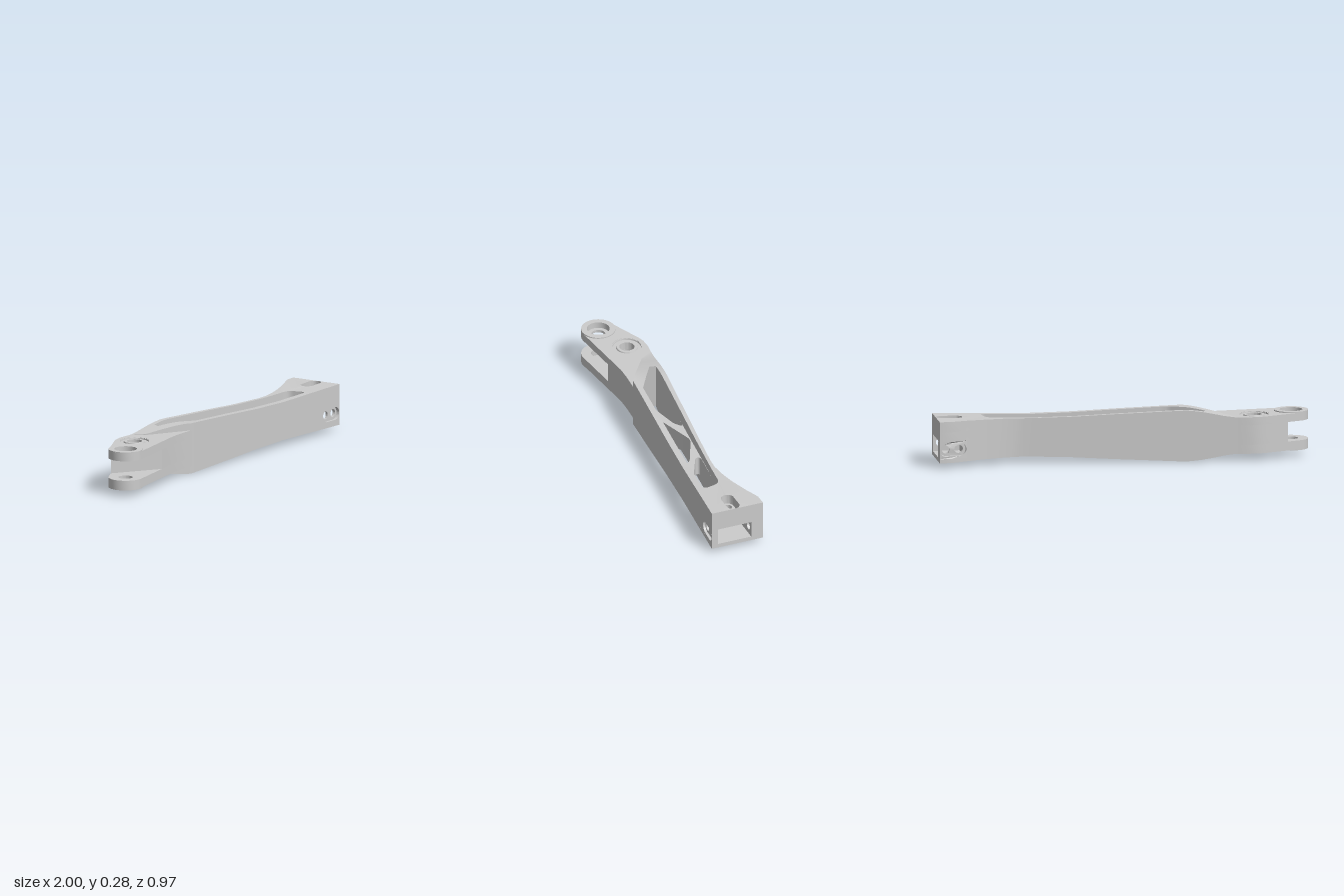
import * as THREE from 'three';
import { toCreasedNormals } from 'three/addons/utils/BufferGeometryUtils.js';

const material = new THREE.MeshStandardMaterial({ color: 0xcccccc });
const mix = (a, b, t) => [a[0] + (b[0] - a[0]) * t, a[1] + (b[1] - a[1]) * t];

// Height of the top face along the arm; the underside mirrors it
const PROFILE = [[-0.66, 0.245], [-0.6, 0.253], [-0.53, 0.267], [-0.46, 0.279], [-0.4, 0.285], [-0.36, 0.285],
  [0, 0.269], [0.25, 0.256], [0.5, 0.25], [0.7, 0.253], [0.9, 0.258], [1.2, 0.258]];
function high(x, z) {
  const s = 0.965 * x - 0.263 * z;
  if (s <= PROFILE[0][0]) return PROFILE[0][1];
  const i = PROFILE.findIndex((p) => p[0] > s);
  const [a, b] = [PROFILE[i - 1], PROFILE[i]];
  return mix(a, b, (s - a[0]) / (b[0] - a[0]))[1];
}
const low = (x, z) => 0.285 - high(x, z);

function addMesh(group, name, geometry) {
  const mesh = new THREE.Mesh(toCreasedNormals(geometry, 0.5), material);
  mesh.name = name;
  group.add(mesh);
  return mesh;
}

// Unit-depth extrusion; the outline is wound one way and the holes the other
function extrude(outline, holes) {
  const wound = (pts, clockwise) => {
    const v = pts.map((p) => new THREE.Vector2(...p));
    return THREE.ShapeUtils.isClockWise(v) === clockwise ? v : v.reverse();
  };
  const shape = new THREE.Shape(wound(outline, false));
  shape.holes = holes.map((h) => new THREE.Path(wound(h, true)));
  return new THREE.ExtrudeGeometry(shape, { depth: 1, bevelEnabled: false });
}

// Closed outline of a slot (or a circle when both centres agree)
function obround(a, b, r, n = 16) {
  const dir = Math.atan2(b[1] - a[1], b[0] - a[0]);
  const pts = [];
  for (const [c, start] of [[b, dir - Math.PI / 2], [a, dir + Math.PI / 2]]) {
    for (let i = 0; i < n; i++) {
      const t = start + Math.PI * i / n;
      pts.push([c[0] + r * Math.cos(t), c[1] + r * Math.sin(t)]);
    }
  }
  return pts;
}
const circle = (c, r) => obround(c, c, r);

// Points rounding the corner b on the way from a to c
function corner(a, b, c) {
  const curve = new THREE.QuadraticBezierCurve(...[a, b, c].map((p) => new THREE.Vector2(...p)));
  return curve.getPoints(6).map((q) => [q.x, q.y]);
}

// Polygon with softened corners
function soften(pts, r) {
  return pts.flatMap((p, i) => {
    const toward = (q) => mix(p, q, Math.min(0.45, r / Math.hypot(q[0] - p[0], q[1] - p[1])));
    return corner(toward(pts.at(i - 1)), p, toward(pts[(i + 1) % pts.length]));
  });
}

// Plan outline in x,z raised between two heights (numbers or height rules)
function slab(group, name, outline, holes, y0, y1) {
  const plan = (pts) => pts.map(([x, z]) => [x, -z]);
  const g = extrude(plan(outline), holes.map(plan)).rotateX(-Math.PI / 2);
  const p = g.attributes.position;
  for (let i = 0; i < p.count; i++) {
    const y = p.getY(i) > 0.5 ? y1 : y0;
    p.setY(i, typeof y === 'function' ? y(p.getX(i), p.getZ(i)) : y);
  }
  addMesh(group, name, g);
}

// Polyline resampled with a given number of steps per leg
function sample(pts, steps) {
  const out = [pts[0]];
  steps.forEach((n, k) => {
    for (let i = 1; i <= n; i++) out.push(mix(pts[k], pts[k + 1], i / n));
  });
  return out;
}

// Beam between a back and a front line, following the height profile
function beam(group, name, back, front) {
  const pos = [], idx = [];
  back.forEach(([bx, bz], i) => {
    const [fx, fz] = front[i];
    pos.push(bx, low(bx, bz), bz, bx, high(bx, bz), bz, fx, high(fx, fz), fz, fx, low(fx, fz), fz);
    if (i === 0) return;
    for (let k = 0; k < 4; k++) {
      const a = (i - 1) * 4 + k, c = (i - 1) * 4 + (k + 1) % 4;
      idx.push(a, c, a + 4, c, c + 4, a + 4);
    }
  });
  const e = (back.length - 1) * 4;
  idx.push(0, 2, 1, 0, 3, 2, e, e + 1, e + 2, e, e + 2, e + 3);
  const g = new THREE.BufferGeometry();
  g.setAttribute('position', new THREE.Float32BufferAttribute(pos, 3));
  g.setIndex(idx);
  addMesh(group, name, g);
}

// Drilled side wall of the end socket, spanned between two three-point lines
function sideWall(group, name, inner, outer, y0, y1) {
  const L = 0.15, c0 = [0.04, 0.098], c1 = [0.111, 0.098];
  const on = (line, u) => (u < 0.5 ? mix(line[0], line[1], u * 2) : mix(line[1], line[2], u * 2 - 1));
  const outline = [[0, y0], [L / 2, y0], [L, y0], [L, y1], [L / 2, y1], [0, y1]];
  const layers = [[0, 0.5, [circle(c0, 0.022), circle(c1, 0.022)]], [0.5, 1, [obround(c0, c1, 0.036)]]];
  for (const [w0, w1, holes] of layers) {
    const g = extrude(outline, holes);
    const p = g.attributes.position;
    for (let i = 0; i < p.count; i++) {
      const u = p.getX(i) / L, w = w0 + (w1 - w0) * p.getZ(i);
      const [x, z] = mix(on(inner, u), on(outer, u), w);
      p.setXYZ(i, x, p.getY(i), z);
    }
    addMesh(group, name, g);
  }
}

export function createModel() {
  const model = new THREE.Group();
  const PIN = [-0.905, 0.39], BORE = [-0.73, 0.235];

  // Forked head: two plates joined by a core
  const tip = [];
  for (let i = 0; i <= 24; i++) {
    const t = THREE.MathUtils.degToRad(227 - (227 - 62.6) * i / 24);
    tip.push([PIN[0] + 0.095 * Math.cos(t), PIN[1] + 0.095 * Math.sin(t)]);
  }
  const frontEdge = [[-0.49, 0.272], [-0.41, 0.24], [-0.32, 0.21]];
  const backEdge = [[-0.60, 0.155], [-0.67, 0.102], [-0.70, 0.11], [-0.745, 0.123], [-0.785, 0.143], [-0.815, 0.166]];
  const head = [...tip, ...frontEdge, ...backEdge];
  const core = [mix(tip[0], backEdge[5], 0.355), mix(tip[24], frontEdge[0], 0.65), ...frontEdge, ...backEdge];
  slab(model, 'lowerForkPlate', head, [circle(BORE, 0.085), circle(PIN, 0.04)], 0.04, 0.09);
  slab(model, 'headCore', core, [circle(BORE, 0.042)], 0.09, 0.2);
  slab(model, 'upperForkPlate', head, [circle(BORE, 0.085), circle(PIN, 0.063)], 0.2, 0.245);

  // Pin seats at the fork tip
  slab(model, 'upperPinBoss', circle(PIN, 0.095), [circle(PIN, 0.063)], 0.245, 0.251);
  slab(model, 'upperPinSeat', circle(PIN, 0.064), [circle(PIN, 0.04)], 0.2, 0.215);
  slab(model, 'lowerPinSeat', circle(PIN, 0.095), [circle(PIN, 0.015)], 0.035, 0.05);

  // Ring bearings on both faces of the head
  const ring = [[0.042, 0], [0.086, 0], [0.086, 0.044], [0.08, 0.044], [0.079, 0.037], [0.06, 0.037],
    [0.058, 0.044], [0.042, 0.044], [0.042, 0]].map((p) => new THREE.Vector2(...p));
  for (const side of [1, -1]) {
    const bearing = addMesh(model, side > 0 ? 'upperBearing' : 'lowerBearing', new THREE.LatheGeometry(ring, 40));
    bearing.position.set(BORE[0], side > 0 ? 0.2 : 0.09, BORE[1]);
    if (side < 0) bearing.rotation.x = Math.PI;
  }

  // Ramp rising from the head, then the two rails of the arm
  beam(model, 'ramp', sample([[-0.67, 0.102], [-0.48, 0.05]], [10]), sample([[-0.6, 0.155], [-0.48, 0.178]], [10]));
  beam(model, 'backRail',
    sample([[-0.48, 0.05], [0.44, -0.202], [0.51, -0.225], [0.58, -0.262], [0.66, -0.315]], [24, 2, 2, 2]),
    sample([[-0.48, 0.08], [0.45, -0.185], [0.53, -0.207], [0.59, -0.224], [0.645, -0.24]], [24, 2, 2, 2]));
  beam(model, 'frontRail',
    sample([[-0.48, 0.115], [-0.25, 0.155], [0.712, -0.151]], [8, 26]),
    sample([[-0.48, 0.178], [-0.32, 0.21], [0.75, -0.122]], [8, 26]));

  // Recessed diagonal webs between the rails
  const openings = [
    [[-0.49, 0.08], [0.02, -0.062], [-0.01, -0.01], [-0.25, 0.155], [-0.29, 0.15], [-0.49, 0.115]],
    [[-0.075, 0.09], [0.155, -0.1], [0.38, -0.09], [0.42, -0.055], [-0.05, 0.09]],
    [[0.335, -0.15], [0.7, -0.256], [0.74, -0.2], [0.58, -0.105], [0.34, -0.122]],
  ].map((o) => soften(o, 0.03));
  const webOutline = [[-0.5, 0.07], [0.68, -0.266], [0.755, -0.155], [-0.25, 0.17], [-0.5, 0.126]];
  slab(model, 'webs', webOutline, openings, 0.09, 0.2);

  // End block, layered around an open socket
  const inward = [[0.75, -0.122], ...corner([0.712, -0.151], [0.74, -0.16], [0.722, -0.187]),
    ...corner([0.7, -0.22], [0.68, -0.25], [0.645, -0.24]), [0.66, -0.315]];
  const flare = [[0.757, -0.393], [0.83, -0.46], [0.891, -0.485]];
  const block = [...inward, ...flare, [1, -0.2]];
  const c0 = [0.845, -0.29], c1 = [0.915, -0.318];
  slab(model, 'endBlockBase', block, [], low, 0.05);
  slab(model, 'endBlockCore', [...inward, flare[0], [0.773, -0.363], [0.849, -0.178], [0.849, -0.153]], [], 0.05, 0.145);
  slab(model, 'endBlockRoof', block, [circle(c0, 0.024), circle(c1, 0.024)], 0.145, 0.2);
  slab(model, 'endBlockTop', block, [obround(c0, c1, 0.037)], 0.2, high);
  sideWall(model, 'frontSocketWall', [[0.849, -0.178], [0.918, -0.206], [0.987, -0.234]],
    [[0.849, -0.153], [0.9245, -0.1765], [1, -0.2]], 0.05, 0.145);
  sideWall(model, 'backSocketWall', [[0.916, -0.42], [0.8445, -0.3915], [0.773, -0.363]],
    [...flare].reverse(), 0.05, 0.145);

  return model;
}
